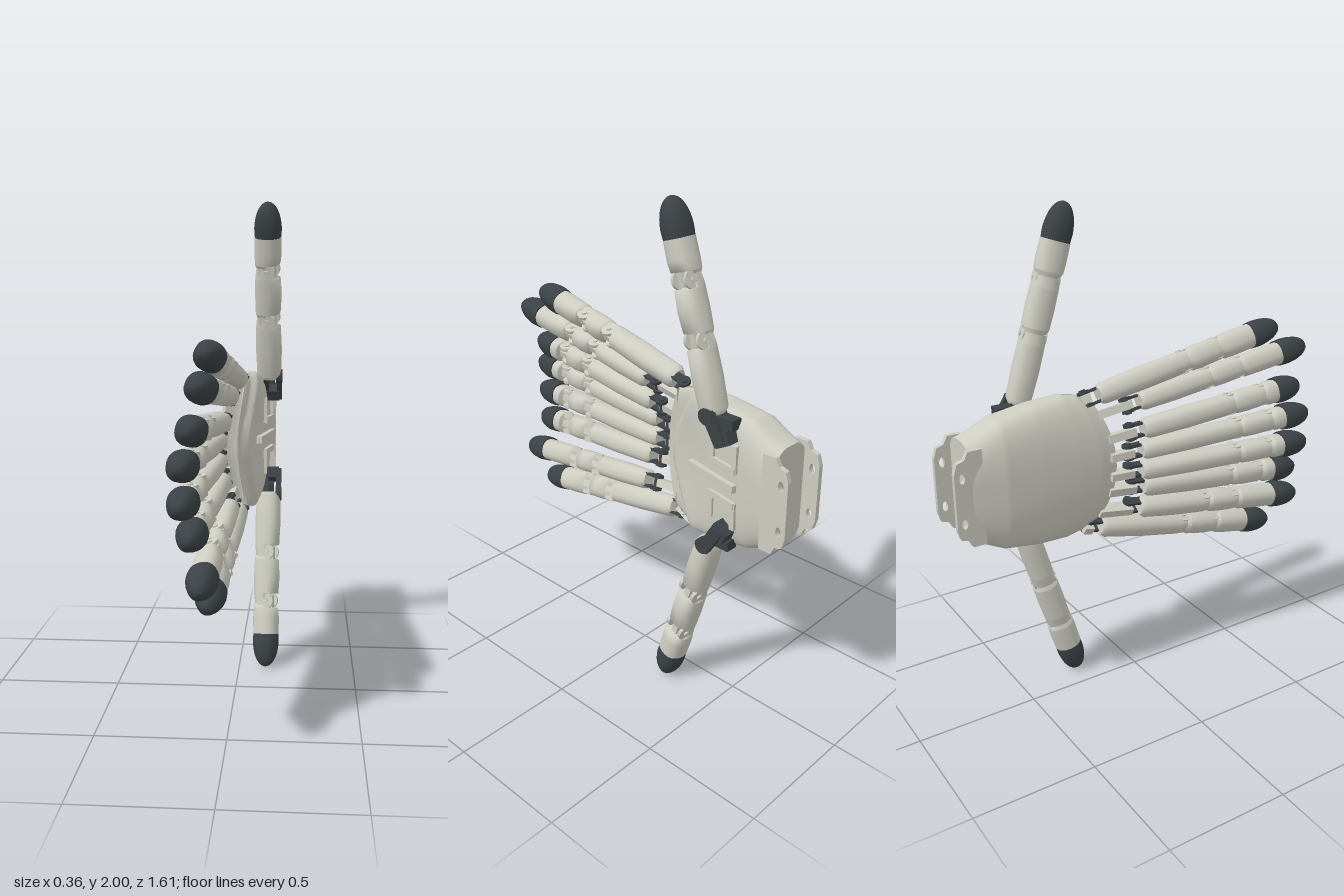
import * as THREE from 'three';

const shell = new THREE.MeshStandardMaterial({ color: 0xcdccc1 });
shell.name = 'paleShell';
const rubber = new THREE.MeshStandardMaterial({ color: 0x3b4245 });
rubber.name = 'darkRubber';

const V = (x, y, z) => new THREE.Vector3(x, y, z);
const spow = (v, e) => Math.sign(v) * Math.pow(Math.abs(v), e);

function add(parent, name, geo, mat, x = 0, y = 0, z = 0) {
  const m = new THREE.Mesh(geo, mat);
  m.name = name;
  m.position.set(x, y, z);
  parent.add(m);
  return m;
}

// Skin over rings (counter-clockwise in xy, z increasing), closed by flat caps
function loft(rings) {
  const n = rings[0].length, pos = [], idx = [];
  rings.forEach(r => r.forEach(p => pos.push(p.x, p.y, p.z)));
  for (let i = 0; i < rings.length - 1; i++) {
    for (let j = 0; j < n; j++) {
      const a = i * n + j, b = i * n + (j + 1) % n;
      idx.push(a, b, a + n, b, b + n, a + n);
    }
  }
  [rings[0], rings[rings.length - 1]].forEach((ring, end) => {
    const c = pos.length / 3;
    const mid = ring.reduce((s, p) => s.add(p), V(0, 0, 0)).divideScalar(n);
    [mid, ...ring].forEach(p => pos.push(p.x, p.y, p.z));
    for (let j = 0; j < n; j++) {
      const a = c + 1 + j, b = c + 1 + (j + 1) % n;
      end ? idx.push(c, a, b) : idx.push(c, b, a);
    }
  });
  const g = new THREE.BufferGeometry();
  g.setAttribute('position', new THREE.Float32BufferAttribute(pos, 3));
  g.setIndex(idx);
  g.computeVertexNormals();
  return g;
}

// Ring with half width w, palm-side depth p and back depth d
function ring(z, w, p, d, n = 24) {
  return Array.from({ length: n }, (_, j) => {
    const t = (j / n) * Math.PI * 2, c = spow(Math.cos(t), 0.85);
    return V(c * (c > 0 ? p : d), spow(Math.sin(t), 0.85) * w, z);
  });
}

const pinGeo = (r, len) => new THREE.CylinderGeometry(r, r, len, 20);

// Phalanx whose palm side is cut away around its joints
function phalanx(z0, z1, w, d, cutStart, cutEnd) {
  const s = [];
  if (cutStart) s.push([z0 + 0.005, 0.7, 0.05, 0.85], [z0 + 0.028, 0.95, 0.08, 1], [z0 + 0.032, 1, 0.9, 1]);
  else s.push([z0, 0.72, 0.7, 0.7], [z0 + 0.02, 0.95, 0.95, 0.95]);
  s.push([(z0 + z1) / 2, 1.03, 1, 1.03]);
  if (cutEnd) s.push([z1 - 0.032, 1, 0.92, 1], [z1 - 0.028, 1, 0.08, 1], [z1 + 0.012, 0.95, 0.05, 0.9]);
  else s.push([z1, 1, 1, 1]);
  return loft(s.map(([z, a, p, b]) => ring(z, w * a, d * p, d * b)));
}

// Digit from base to end; cuts = distances of two joints, start of tip, end of tip
function digit(parent, name, base, end, palmar, w, d, tipR, cuts) {
  const g = new THREE.Group();
  g.name = name;
  const az = end.clone().sub(base).normalize();
  const ax = palmar.clone().addScaledVector(az, -palmar.dot(az)).normalize();
  g.applyMatrix4(new THREE.Matrix4().makeBasis(ax, az.clone().cross(ax), az).setPosition(base));
  parent.add(g);
  const [j1, j2, t0, t1] = cuts;
  add(g, 'proximalPhalanx', phalanx(0, j1, w, d, false, true), shell);
  add(g, 'middlePhalanx', phalanx(j1, j2, w * 1.05, d, true, true), shell);
  add(g, 'distalPhalanx', phalanx(j2, t0, w * 1.1, d, true, false), shell);
  for (const j of [j1, j2]) {
    // fork cheeks, tongue and hinge pin
    for (const s of [-1, 1]) add(g, 'jointCheek', pinGeo(d * 0.66, 0.014), shell, 0.004, s * w * 0.78, j);
    add(g, 'jointTongue', new THREE.BoxGeometry(d * 0.9, w * 0.6, 0.06), shell, 0.006, 0, j + 0.006);
    add(g, 'jointPin', pinGeo(0.011, w * 2.12), shell, 0.006, 0, j);
  }
  // bullet-shaped fingertip
  const tip = Array.from({ length: 13 }, (_, k) => {
    const u = Math.sin((k / 12) * Math.PI / 2);
    const r = tipR * Math.max(0.02, Math.sqrt(1 - Math.pow(u, 2.6))) * (0.95 + 0.05 * Math.min(1, u * 4));
    return ring(t0 + u * (t1 - t0), r, r, r);
  });
  add(g, 'fingertip', loft(tip), rubber);
  return g;
}

// Dark hinge and pale lug between palm and finger
function knuckle(g, w, reach) {
  for (const s of [-1, 1]) {
    add(g, 'knucklePlate', new THREE.BoxGeometry(0.036, 0.011, 0.075), rubber, 0.008, s * w * 0.55, -0.025);
    add(g, 'knuckleBoss', pinGeo(0.024, 0.013), rubber, 0.01, s * w * 0.58, -0.052);
  }
  add(g, 'knucklePin', pinGeo(0.013, w * 1.7), rubber, 0.01, 0, -0.052);
  add(g, 'knuckleLug', new THREE.BoxGeometry(0.05, w * 0.75, reach), shell, -0.005, 0, -0.04 - reach / 2);
}

// Palm stations: z, half width, back x, front x, arch at the edges
const PALM = [
  [-0.735, 0.2, -0.065, 0.14, 0], [-0.7, 0.212, -0.072, 0.14, 0], [-0.6, 0.262, -0.09, 0.13, 0.008],
  [-0.45, 0.288, -0.092, 0.1, 0.025], [-0.3, 0.297, -0.09, 0.065, 0.045],
  [-0.2, 0.285, -0.085, 0.045, 0.05], [-0.13, 0.26, -0.075, 0.025, 0.05],
];
function palmAt(z) {
  let i = 0;
  while (i < PALM.length - 2 && z > PALM[i + 1][0]) i++;
  const a = PALM[i], b = PALM[i + 1];
  return a.map((v, k) => THREE.MathUtils.lerp(v, b[k], (z - a[0]) / (b[0] - a[0])));
}
function palmGeometry() {
  const N = 50, M = 72, rings = [];
  for (let i = 0; i <= N; i++) {
    const z = -0.735 + (0.605 * i) / N;
    const [, w, back, front, arch] = palmAt(z);
    const mid = (back + front) / 2, half = (front - back) / 2;
    rings.push(Array.from({ length: M }, (_, j) => {
      const t = (j / M) * Math.PI * 2, e = spow(Math.sin(t), 0.7), c = spow(Math.cos(t), 0.6);
      const zz = z - 0.07 * e * e * THREE.MathUtils.smoothstep(z, -0.4, -0.13);
      let x = mid + half * c + arch * e * e;
      // V-shaped step down towards the fingers
      if (c > 0.3) x -= 0.028 * THREE.MathUtils.smoothstep(zz, -0.012 - 0.18 - 0.5 * Math.max(0, Math.abs(e * w) - 0.04), -0.17 - 0.5 * Math.max(0, Math.abs(e * w) - 0.04));
      return V(x, 1 + w * e, zz);
    }));
  }
  return loft(rings);
}

// Strap tab drawn in z and y, with two holes
function tabGeometry() {
  const s = new THREE.Shape([[-0.69, 0.81], [-0.69, 1.19], [-0.745, 1.19], [-0.76, 1.16], [-0.79, 1.15],
    [-0.802, 1.11], [-0.802, 0.89], [-0.79, 0.85], [-0.76, 0.84], [-0.745, 0.81]].map(p => new THREE.Vector2(...p)));
  for (const y of [0.91, 1.09]) {
    const h = new THREE.Path();
    h.absellipse(-0.772, y, 0.011, 0.02, 0, Math.PI * 2);
    s.holes.push(h);
  }
  return new THREE.ExtrudeGeometry(s, { depth: 0.02, bevelEnabled: false }).rotateY(-Math.PI / 2);
}

// Fingers: base, end, roll, half width, z of the joints, tip start and tip end
const FINGERS = [
  { base: [-0.005, 0.28, -0.17], end: [-0.058, 0.445, 0.665], roll: 0.5, w: 0.046, z: [0.21, 0.36, 0.525, 0.665], reach: 0.04 },
  { base: [-0.03, 0.228, 0], end: [-0.073, 0.345, 0.81], roll: 0.4, w: 0.043, z: [0.31, 0.46, 0.665, 0.81], reach: 0.15 },
  { base: [-0.06, 0.122, 0], end: [-0.113, 0.188, 0.755], roll: 0.22, w: 0.044, z: [0.4, 0.55, 0.625, 0.755], reach: 0.12 },
  { base: [-0.078, 0.043, -0.02], end: [-0.141, 0.067, 0.79], roll: 0.08, w: 0.041, z: [0.42, 0.575, 0.65, 0.79], reach: 0.1 },
];

export function createModel() {
  const model = new THREE.Group();
  model.name = 'doubleThumbedHand';
  add(model, 'palm', palmGeometry(), shell);
  add(model, 'frontStrapTab', tabGeometry(), shell, 0.14);
  add(model, 'backStrapTab', tabGeometry(), shell, -0.045);
  add(model, 'palmRidge', new THREE.BoxGeometry(0.03, 0.03, 0.26), shell, 0.103, 1, -0.44).rotation.y = -0.2;

  for (const s of [1, -1]) {
    const half = new THREE.Group();
    half.name = s > 0 ? 'upperHalf' : 'lowerHalf';
    model.add(half);
    const at = ([x, y, z]) => V(x, 1 + s * y, z);

    FINGERS.forEach((f, i) => {
      const base = at(f.base), end = at(f.end);
      const k = base.distanceTo(end) / (f.end[2] - f.base[2]);
      const g = digit(half, 'finger' + (i + 1), base, end, V(Math.cos(f.roll), -s * Math.sin(f.roll), 0),
        f.w, 0.049, 0.056, f.z.map(z => (z - f.base[2]) * k));
      knuckle(g, f.w, f.reach);
    });

    // thumb
    digit(half, 'thumb', at([0.118, 0.26, -0.455]), at([0.115, 1, -0.228]), V(1, 0, 0.25),
      0.051, 0.055, 0.057, [0.27, 0.485, 0.63, 0.774]);

    // thumb bracket: dark arms and bosses leading to a raised mount on the palm
    const bracket = new THREE.Group();
    bracket.name = 'thumbBracket';
    half.add(bracket);
    for (const x of [0.105, 0.162]) {
      add(bracket, 'bracketArm', new THREE.BoxGeometry(0.022, 0.13, 0.05), rubber, x, 1 + s * 0.225, -0.49).rotation.x = s * 0.55;
      add(bracket, 'bracketBoss', pinGeo(0.032, 0.026), rubber, x, 1 + s * 0.265, -0.455).rotation.z = Math.PI / 2;
    }
    add(bracket, 'bracketBlock', new THREE.BoxGeometry(0.075, 0.05, 0.07), rubber, 0.125, 1 + s * 0.19, -0.52).rotation.x = s * 0.5;
    add(bracket, 'bracketFoot', new THREE.BoxGeometry(0.05, 0.04, 0.075), rubber, 0.115, 1 + s * 0.245, -0.515);
    for (const z of [-0.435, -0.56]) {
      add(half, 'thumbMountRail', new THREE.BoxGeometry(0.03, 0.11, 0.022), shell, 0.108 - (z + 0.5) * 0.2, 1 + s * 0.115, z);
    }
    add(half, 'thumbMountBar', new THREE.BoxGeometry(0.03, 0.025, 0.14), shell, 0.11, 1 + s * 0.07, -0.5).rotation.y = -0.2;
  }
  return model;
}
